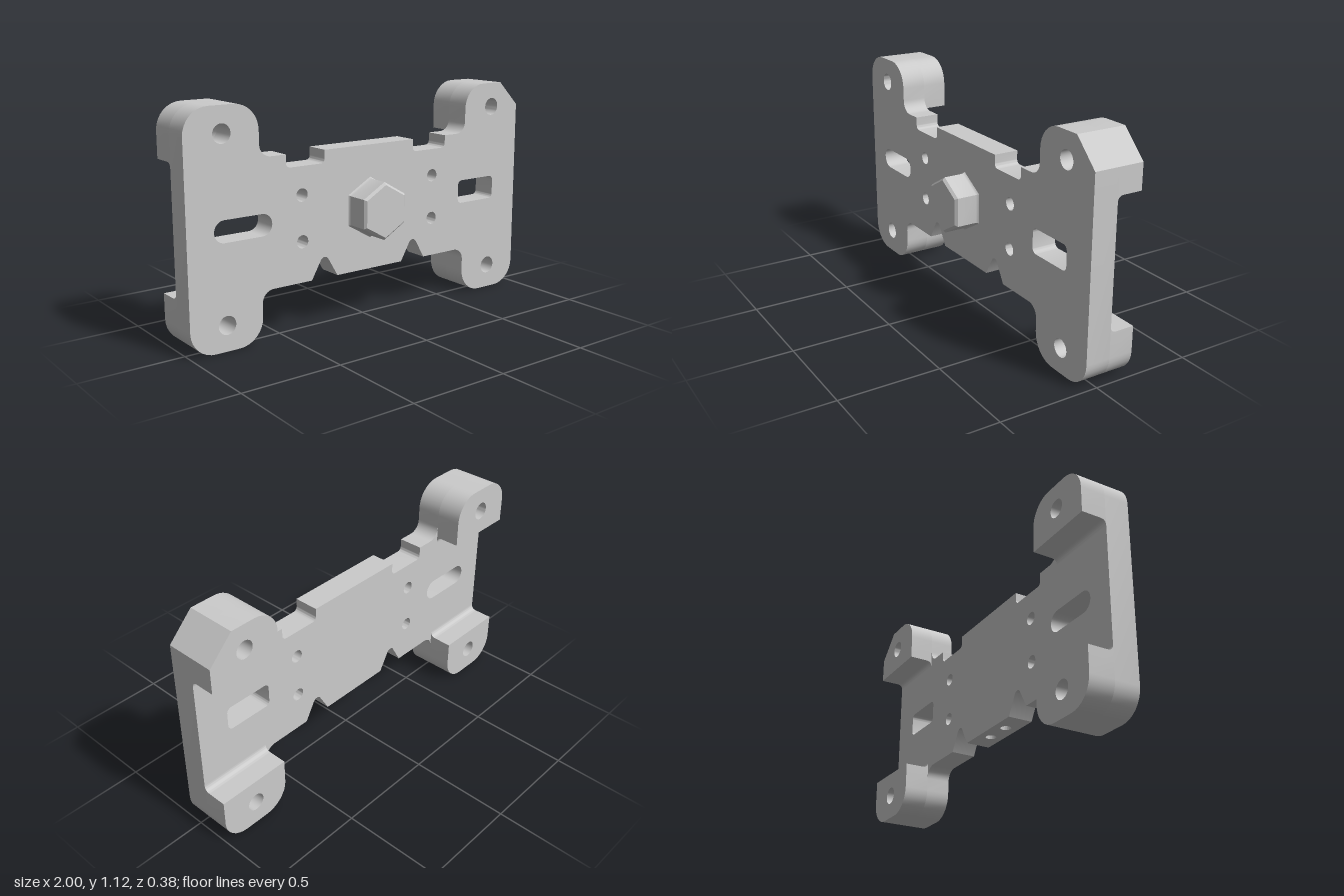
import * as THREE from 'three';
import { toCreasedNormals } from 'three/addons/utils/BufferGeometryUtils.js';

const material = new THREE.MeshStandardMaterial({ color: 0xcccccc });
const MID = 0.5625;          // height of the horizontal centre line
const BACK = -0.0625, FRONT = 0.0625, FOOT_BACK = -0.1875;

// Closed outline from [x, y, cornerRadius] entries
function rounded(corners, Type = THREE.Shape) {
  const out = [];
  corners.forEach(([x, y, r = 0], i) => {
    const p = new THREE.Vector2(x, y);
    if (!r) return out.push(p);
    const n = corners.length;
    const a = new THREE.Vector2(...corners[(i + n - 1) % n].slice(0, 2)).sub(p).normalize();
    const b = new THREE.Vector2(...corners[(i + 1) % n].slice(0, 2)).sub(p).normalize();
    const half = Math.acos(a.dot(b)) / 2;
    const centre = a.clone().add(b).normalize().multiplyScalar(r / Math.sin(half)).add(p);
    const start = a.clone().multiplyScalar(r / Math.tan(half)).add(p).sub(centre);
    const sweep = (Math.PI - 2 * half) * Math.sign(b.cross(a));
    for (let k = 0; k <= 8; k++) {
      out.push(start.clone().rotateAround(new THREE.Vector2(), sweep * k / 8).add(centre));
    }
  });
  return new Type(out);
}

function circle(x, y, r) {
  return new THREE.Path().absarc(x, y, r, 0, Math.PI * 2, false);
}

function slot(x, y, w, h, r) {
  return rounded([
    [x - w / 2, y - h / 2, r], [x + w / 2, y - h / 2, r],
    [x + w / 2, y + h / 2, r], [x - w / 2, y + h / 2, r],
  ], THREE.Path);
}

function extrude(shape, depth) {
  return new THREE.ExtrudeGeometry(shape, { depth, bevelEnabled: false, curveSegments: 14 });
}

export function createModel() {
  const group = new THREE.Group();
  const add = (name, geometry) => {
    const mesh = new THREE.Mesh(toCreasedNormals(geometry, 0.5), material);
    mesh.name = name;
    group.add(mesh);
  };

  // Front plate: H-shaped outline with notches along both long edges
  const bottomHalf = [
    [0.625, 0, 0.125], [0.625, 0.25, 0.06], [0.35, 0.25],
    [0.275, 0.38, 0.025], [0.2, 0.25], [0.15, 0.25], [0.15, 0.34],
  ];
  const topHalf = [
    [0.27, 0.875], [0.27, 0.812, 0.022], [0.485, 0.812, 0.022], [0.485, 0.875],
    [0.625, 0.875, 0.06], [0.625, 1.125, 0.125],
  ];
  const mirror = (list) => list.map(([x, y, r]) => [-x, y, r]);
  const plate = rounded([
    [-1, 0, 0.125], ...mirror(bottomHalf),
    ...bottomHalf.slice().reverse(), [1, 0, 0.125],
    [1, 1], [0.875, 1.125], ...topHalf.slice().reverse(),
    ...mirror(topHalf), [-1, 1.125, 0.125],
  ]);
  for (const s of [-1, 1]) {
    for (const y of [0.125, 1]) plate.holes.push(circle(s * 0.8125, y, 0.045));
    for (const y of [0.45, 0.675]) plate.holes.push(circle(s * 0.4, y, 0.032));
  }
  plate.holes.push(slot(-0.715, MID, 0.3, 0.105, 0.0524));
  plate.holes.push(slot(0.71, MID, 0.25, 0.122, 0.025));
  add('plate', extrude(plate, FRONT - BACK).translate(0, 0, BACK));

  // Middle of the lower edge, drilled from below with two blind holes
  const edge = rounded([[-0.15, BACK], [0.15, BACK], [0.15, FRONT], [-0.15, FRONT]]);
  edge.holes.push(circle(-0.07, 0, 0.026), circle(0.07, 0, 0.026));
  add('drilledEdge', extrude(edge, 0.09).rotateX(-Math.PI / 2).translate(0, 0.25, 0));

  // Four feet on the back, each with a fillet where it meets the plate
  for (const s of [-1, 1]) {
    for (const v of [-1, 1]) {
      const yIn = MID + v * 0.3125, yOut = MID + v * 0.5625;
      const outer = s > 0 && v > 0
        ? [[0.875, yOut], [1, 1]]
        : [[s, yOut, 0.125]];
      const foot = rounded([[s, yIn], [s * 0.625, yIn], [s * 0.625, yOut, 0.125], ...outer]);
      foot.holes.push(circle(s * 0.8125, MID + v * 0.4375, 0.045));
      add('foot', extrude(foot, BACK - FOOT_BACK).translate(0, 0, FOOT_BACK));

      const fillet = new THREE.Shape();
      fillet.moveTo(BACK, yIn);
      fillet.lineTo(BACK, yIn - v * 0.03);
      fillet.quadraticCurveTo(BACK, yIn, BACK - 0.03, yIn);
      add('footFillet', extrude(fillet, 0.375).rotateY(-Math.PI / 2)
        .translate(s > 0 ? 1 : -0.625, 0, 0));
    }
  }

  // Hexagonal boss with a flared base and a chamfered end
  const profile = [
    [0.156, 0.06], [0.148, 0.066], [0.144, 0.075],
    [0.144, 0.175], [0.131, 0.1875], [0, 0.1875],
  ].map(([r, h]) => new THREE.Vector2(r, h));
  const boss = new THREE.LatheGeometry(profile, 6).toNonIndexed();
  boss.rotateX(Math.PI / 2).translate(0, MID, 0);
  add('hexBoss', boss);

  return group;
}
